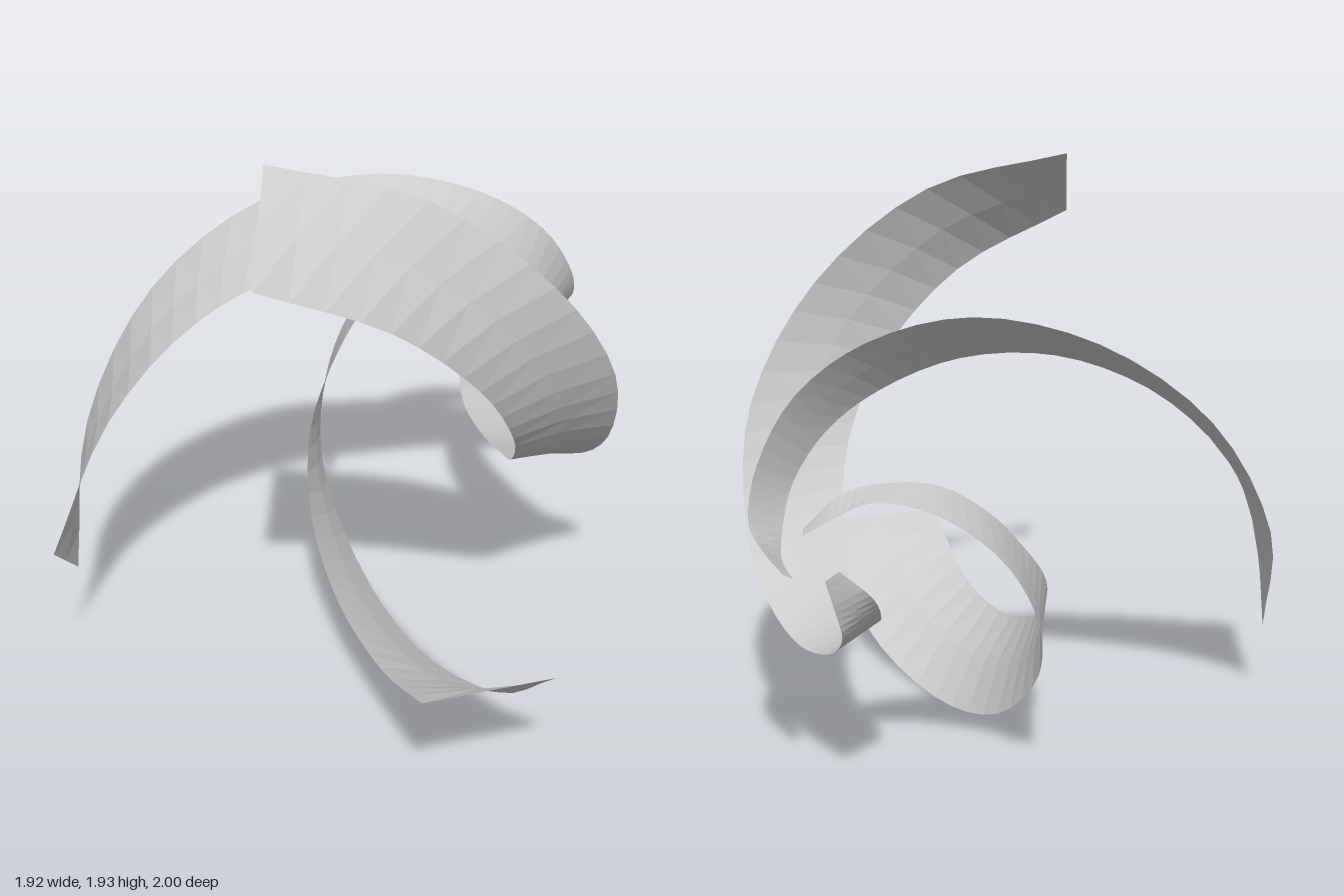
import * as THREE from 'three';

// Edge control points of one ribbon: [sweep angle in degrees (clockwise), radius, z]
const OUTER = [
  [26, 1.05, 0.68], [51, 0.99, 0.43], [78, 0.9, 0.17], [105, 0.8, -0.1],
  [132, 0.69, -0.3], [157, 0.584, -0.49], [180, 0.485, -0.65], [204, 0.37, -0.79],
  [226, 0.27, -0.9], [238, 0.18, -0.955], [271, 0.088, -1],
];
const INNER = [
  [35.6, 0.79, 1], [62, 0.697, 0.69], [90, 0.61, 0.4], [117, 0.532, 0.155],
  [144, 0.46, -0.07], [169, 0.4, -0.3], [192, 0.357, -0.46], [216, 0.308, -0.6],
  [239, 0.24, -0.74], [258, 0.19, -0.84], [287, 0.1, -0.95],
];

function edgeCurve(points) {
  return new THREE.CatmullRomCurve3(points.map(([deg, r, z]) => {
    const a = -THREE.MathUtils.degToRad(deg);
    return new THREE.Vector3(r * Math.cos(a), r * Math.sin(a), z);
  }));
}

// Thin surface ruled between the two edge curves
function ribbonGeometry(segments, across) {
  const outer = edgeCurve(OUTER), inner = edgeCurve(INNER);
  const positions = [], index = [];
  for (let i = 0; i <= segments; i++) {
    const a = outer.getPoint(i / segments), b = inner.getPoint(i / segments);
    for (let j = 0; j <= across; j++) {
      positions.push(...a.clone().lerp(b, j / across).toArray());
    }
  }
  const row = across + 1;
  for (let i = 0; i < segments; i++) {
    for (let j = 0; j < across; j++) {
      const p = i * row + j;
      index.push(p, p + 1, p + row, p + 1, p + row + 1, p + row);
    }
  }
  const geometry = new THREE.BufferGeometry();
  geometry.setAttribute('position', new THREE.Float32BufferAttribute(positions, 3));
  geometry.setIndex(index);
  geometry.computeVertexNormals();
  return geometry;
}

export function createModel() {
  const group = new THREE.Group();
  group.name = 'spiralRibbons';
  const material = new THREE.MeshStandardMaterial({
    color: 0xcccccc, side: THREE.DoubleSide, flatShading: true,
  });
  const geometry = ribbonGeometry(40, 2);

  // Three identical blades around the z axis
  ['lowerRibbon', 'upperRibbon', 'sideRibbon'].forEach((name, i) => {
    const ribbon = new THREE.Mesh(geometry, material);
    ribbon.name = name;
    ribbon.position.set(0.005, 0.88, 0);
    ribbon.rotation.z = (i * Math.PI * 2) / 3;
    group.add(ribbon);
  });
  return group;
}
